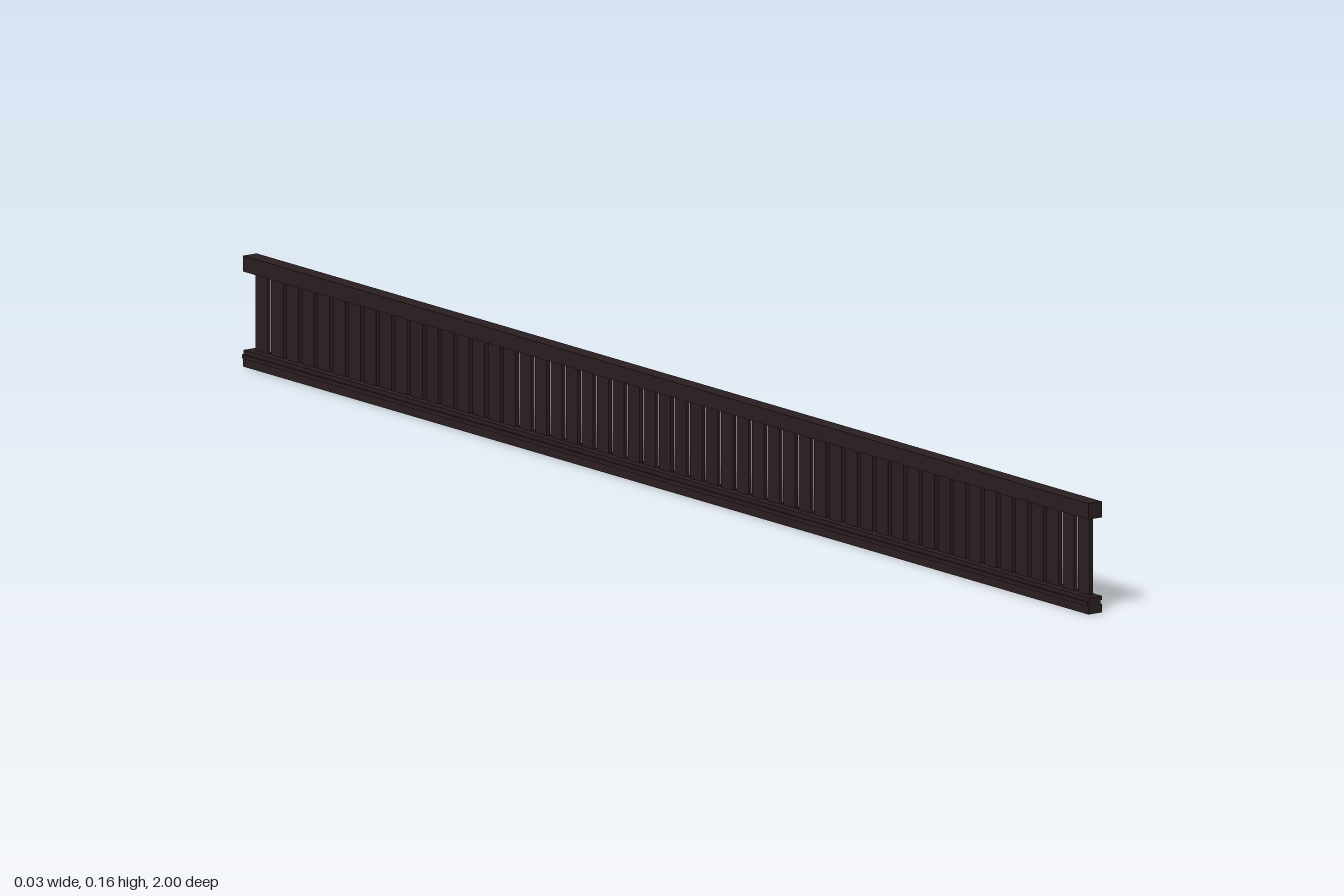
import * as THREE from 'three';

export function createModel() {
  const group = new THREE.Group();
  group.name = 'railing';
  const darkBrown = new THREE.MeshStandardMaterial({ color: 0x2a1f20 });
  darkBrown.name = 'darkBrown';

  // Box given by its limits in x and y, its length and its centre in z
  function addBox(name, x0, x1, y0, y1, length, z = 0) {
    const mesh = new THREE.Mesh(new THREE.BoxGeometry(x1 - x0, y1 - y0, length), darkBrown);
    mesh.name = name;
    mesh.position.set((x0 + x1) / 2, (y0 + y1) / 2, z);
    group.add(mesh);
  }

  // Handrail
  addBox('topRail', -0.012, 0.012, 0.138, 0.161, 2);

  // Stepped bottom rail, with a lip on one side and a groove on the other
  addBox('bottomRailBase', -0.012, 0.012, 0, 0.012, 2);
  addBox('bottomRailLip', -0.014, 0.009, 0.012, 0.018, 2);
  addBox('bottomRailCap', -0.011, 0.012, 0.018, 0.024, 2);

  // Evenly spaced flat slats
  const count = 54;
  const pitch = 0.0367;
  for (let i = 0; i < count; i++) {
    addBox('slat', 0, 0.006, 0.02, 0.142, 0.028, (i - (count - 1) / 2) * pitch);
  }
  return group;
}
